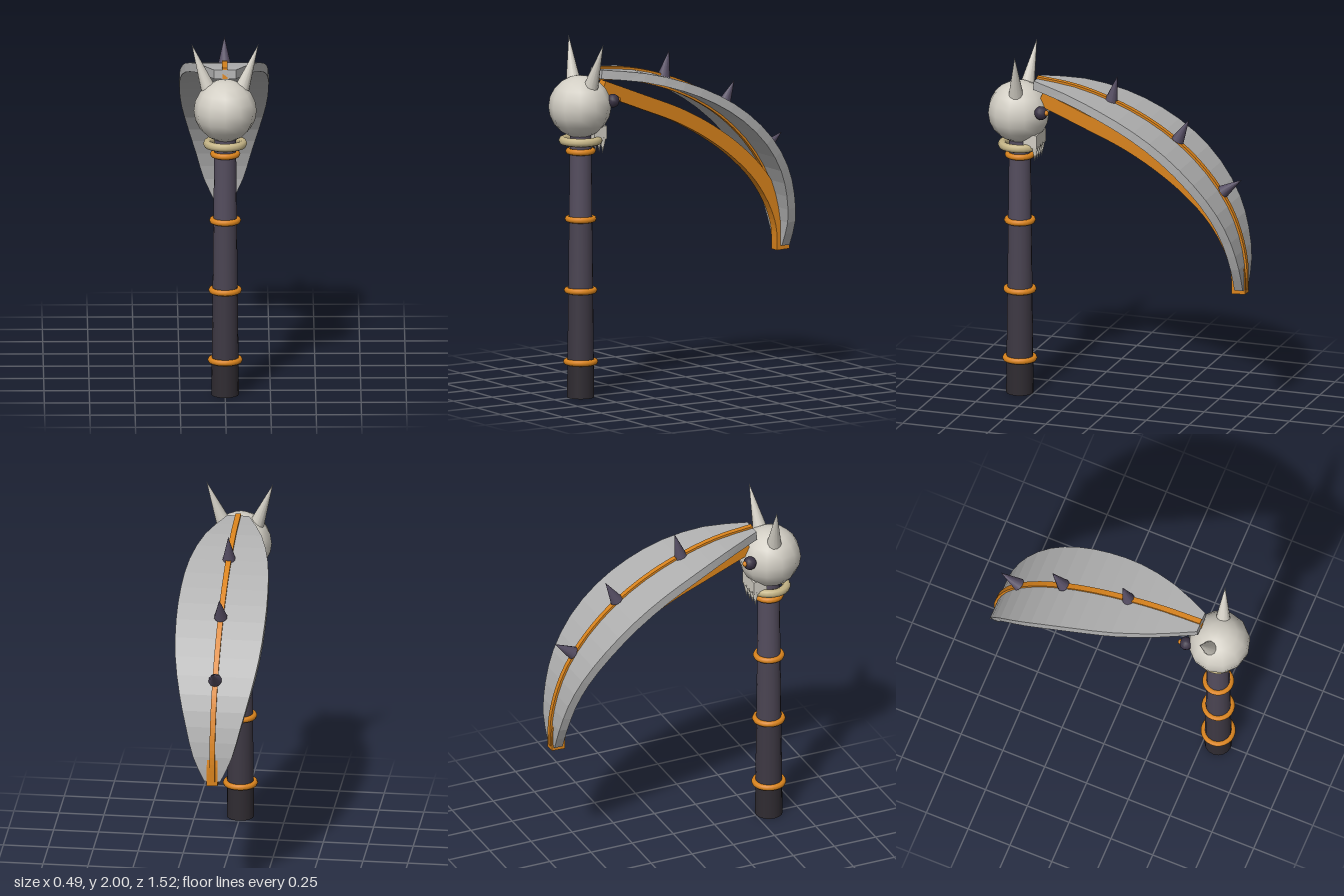
import * as THREE from 'three';

const ORANGE = 0xd9831c, PURPLE = 0x554d63, BONE = 0xd2cec4;
const SHAFT_Z = 0.58;

const mat = (color, extra = {}) => new THREE.MeshStandardMaterial({ color, ...extra });

function add(parent, name, geometry, material, x = 0, y = 0, z = 0) {
  const mesh = new THREE.Mesh(geometry, material);
  mesh.name = name;
  mesh.position.set(x, y, z);
  parent.add(mesh);
  return mesh;
}

// Cone running from a base point to a tip point
function coneBetween(parent, name, base, tip, radius, sides, material) {
  const a = new THREE.Vector3(...base), b = new THREE.Vector3(...tip);
  const dir = b.clone().sub(a);
  const mesh = add(parent, name, new THREE.ConeGeometry(radius, dir.length(), sides), material);
  mesh.position.copy(a).lerp(b, 0.5);
  mesh.quaternion.setFromUnitVectors(new THREE.Vector3(0, 1, 0), dir.normalize());
  return mesh;
}

// Rectangular bar swept along a path in the yz plane; stations are [z, y, halfWidth]
function sweptBar(stations, thickness, steps) {
  const curve = new THREE.CatmullRomCurve3(stations.map(([z, y, w]) => new THREE.Vector3(w, y, z)));
  const rings = [];
  for (let i = 0; i <= steps; i++) {
    const p = curve.getPoint(i / steps), d = curve.getTangent(i / steps);
    const k = thickness / 2 / Math.hypot(d.y, d.z);
    const ny = -d.z * k, nz = d.y * k;
    rings.push([[1, 1], [-1, 1], [-1, -1], [1, -1]].map(([sx, sn]) =>
      [sx * p.x, p.y + sn * ny, p.z + sn * nz]));
  }
  const pos = [];
  const quad = (a, b, c, d) => pos.push(...a, ...b, ...c, ...a, ...c, ...d);
  for (let i = 0; i < steps; i++) {
    for (let j = 0; j < 4; j++) {
      const k = (j + 1) % 4;
      quad(rings[i][j], rings[i + 1][j], rings[i + 1][k], rings[i][k]);
    }
  }
  quad(...rings[0]);
  quad(...rings[steps].slice().reverse());
  const geometry = new THREE.BufferGeometry();
  geometry.setAttribute('position', new THREE.Float32BufferAttribute(pos, 3));
  geometry.computeVertexNormals();
  return geometry;
}

function createShaft() {
  const shaft = new THREE.Group();
  shaft.name = 'shaft';
  const radiusAt = y => 0.076 - 0.011 * y;

  // Handle sections, darker towards the foot
  const levels = [0, 0.2, 0.6, 1.0, 1.48];
  const colors = [0x2f2b31, 0x3d3843, 0x4a4452, 0x544d5e];
  colors.forEach((color, i) => {
    const y0 = levels[i], y1 = levels[i + 1];
    add(shaft, 'handleSection', new THREE.CylinderGeometry(radiusAt(y1), radiusAt(y0), y1 - y0, 16),
      mat(color), 0, (y0 + y1) / 2, SHAFT_Z);
  });

  // Binding rings
  for (const y of [0.2, 0.6, 1.0, 1.38]) {
    add(shaft, 'bindingRing', new THREE.TorusGeometry(radiusAt(y) + 0.006, 0.017, 8, 24),
      mat(ORANGE), 0, y, SHAFT_Z).rotation.x = Math.PI / 2;
  }
  // Bone collar below the skull
  add(shaft, 'collar', new THREE.TorusGeometry(0.098, 0.024, 8, 24), mat(0xc4b486), 0, 1.44, SHAFT_Z)
    .rotation.x = Math.PI / 2;
  return shaft;
}

function createSkull() {
  const skull = new THREE.Group();
  skull.name = 'skull';
  const bone = mat(BONE);
  add(skull, 'cranium', new THREE.SphereGeometry(0.174, 12, 10), bone, 0, 1.63, 0.585);

  for (const s of [-1, 1]) {
    coneBetween(skull, 'horn', [s * 0.085, 1.73, 0.572], [s * 0.185, 2.0, 0.545], 0.045, 12, bone);
    add(skull, 'eyeSocket', new THREE.SphereGeometry(0.038, 10, 8), mat(0x3a3345), s * 0.088, 1.66, 0.425);
    add(skull, 'eye', new THREE.SphereGeometry(0.016, 8, 6), mat(ORANGE), s * 0.094, 1.665, 0.394);
  }

  // Jaw with a row of pointed teeth
  add(skull, 'jaw', new THREE.BoxGeometry(0.15, 0.075, 0.08), bone, 0, 1.483, 0.495);
  for (let i = 0; i < 4; i++) {
    const x = (i - 1.5) * 0.038;
    coneBetween(skull, 'tooth', [x, 1.455, 0.472], [x, 1.365, 0.472], 0.02, 8, mat(0xe0dcd0));
  }
  return skull;
}

function createBlade() {
  const blade = new THREE.Group();
  blade.name = 'blade';
  const arc = [
    [0.48, 1.807, 0.06], [0.26, 1.783, 0.157], [0.04, 1.722, 0.218], [-0.16, 1.635, 0.242],
    [-0.34, 1.52, 0.247], [-0.5, 1.37, 0.233], [-0.62, 1.2, 0.195], [-0.685, 1.04, 0.152],
    [-0.717, 0.88, 0.108], [-0.718, 0.74, 0.045],
  ];
  add(blade, 'bladePlate', sweptBar(arc, 0.05, 18), mat(0xb0b0b0, { flatShading: true }));

  // Spine showing on both faces of the plate
  add(blade, 'spine', sweptBar(arc.map(([z, y]) => [z, y, 0.015]), 0.074, 36), mat(ORANGE));

  // Lower brace joining the spine at the tip
  const brace = [
    [0.45, 1.725], [0.2, 1.625], [-0.05, 1.522], [-0.25, 1.41], [-0.42, 1.285],
    [-0.56, 1.145], [-0.66, 0.985], [-0.705, 0.85], [-0.711, 0.715],
  ].map(([z, y]) => [z, y, 0.03]);
  add(blade, 'brace', sweptBar(brace, 0.08, 30), mat(ORANGE));

  // Spikes along the outer edge
  const spikes = [[0.045, 1.745, 0.008, 1.895], [-0.345, 1.56, -0.413, 1.687], [-0.61, 1.29, -0.72, 1.37]];
  for (const [z0, y0, z1, y1] of spikes) {
    coneBetween(blade, 'spike', [0, y0, z0], [0, y1, z1], 0.037, 10, mat(PURPLE));
  }
  return blade;
}

export function createModel() {
  const model = new THREE.Group();
  model.name = 'hornedScythe';
  model.add(createShaft(), createSkull(), createBlade());
  return model;
}
